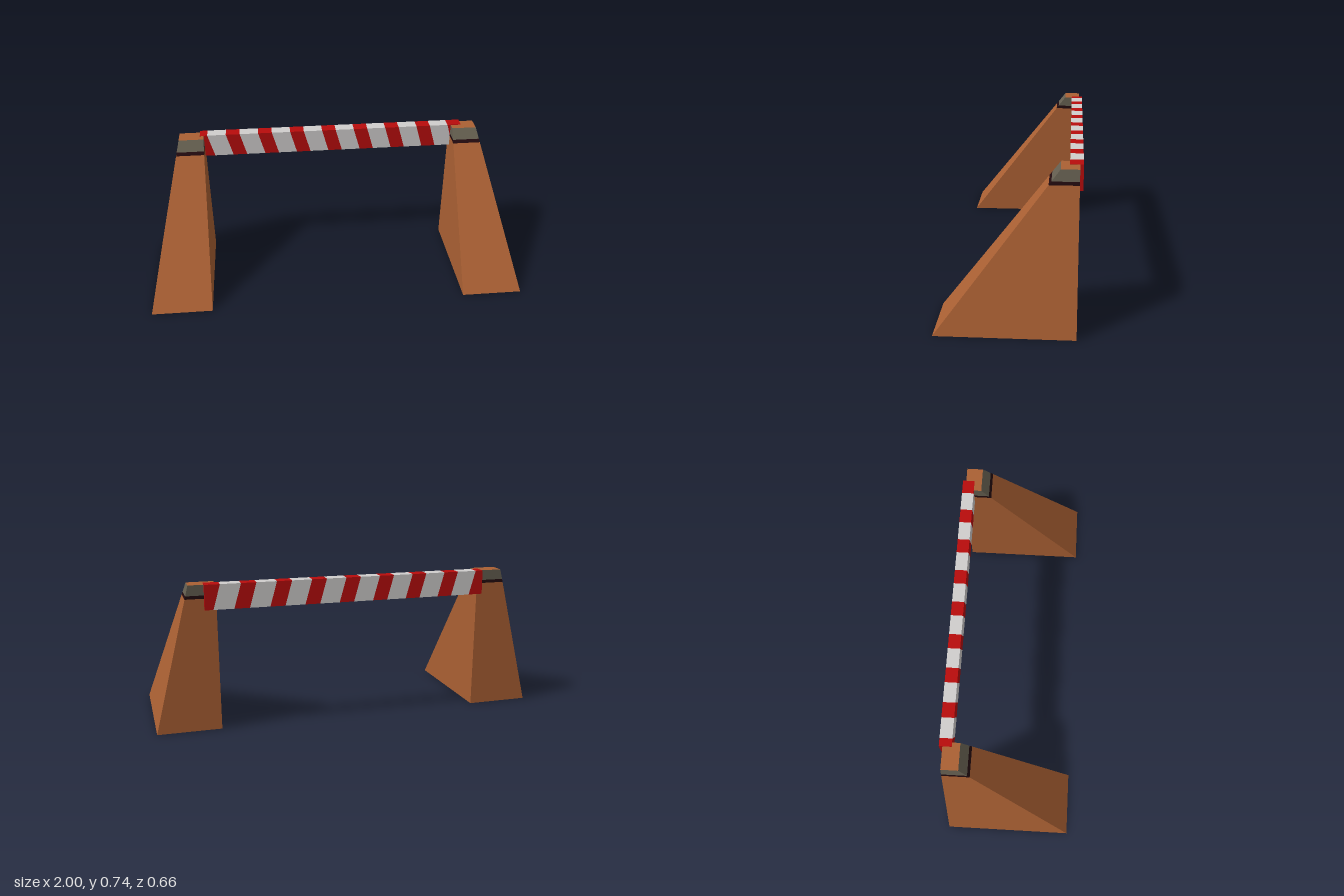
import * as THREE from 'three';

const mat = (name, color) => {
  const m = new THREE.MeshStandardMaterial({ color });
  m.name = name;
  return m;
};

const H = 0.735; // post height
const lerp = THREE.MathUtils.lerp;
const clamp = THREE.MathUtils.clamp;

// Box whose unit corners (-1 or 1 on each axis) are moved by a rule
function shapedBox(rule) {
  const g = new THREE.BoxGeometry(2, 2, 2);
  const p = g.attributes.position;
  for (let i = 0; i < p.count; i++) p.setXYZ(i, ...rule(p.getX(i), p.getY(i), p.getZ(i)));
  g.computeVertexNormals();
  return g;
}

// Slice of the tapered post between two heights; side is 1 (left) or -1 (right)
function postSlice(side, y0, y1) {
  return shapedBox((x, y, z) => {
    const h = y > 0 ? y1 : y0;
    const t = h / H;
    const px = x * side > 0 ? lerp(1, 0.82, t) : lerp(0.68, 0.687, t);
    const pz = z > 0 ? lerp(0.33, -0.23, t) : -0.315;
    return [px * side, h, pz];
  });
}

export function createModel() {
  const root = new THREE.Group();
  root.name = 'barrier';
  const brown = mat('brown', 0xaa6033);
  const grey = mat('grey', 0x655f50);
  const dark = mat('darkBand', 0x220a0e);
  const red = mat('red', 0xb80c0c);
  const white = mat('white', 0xd0cecd);

  const add = (parent, name, geometry, material) => {
    const m = new THREE.Mesh(geometry, material);
    m.name = name;
    parent.add(m);
  };

  // Two wedge posts, each with a dark line and a grey cap band
  for (const side of [1, -1]) {
    const post = new THREE.Group();
    post.name = side > 0 ? 'leftPost' : 'rightPost';
    add(post, 'postBody', postSlice(side, 0, 0.667), brown);
    add(post, 'darkLine', postSlice(side, 0.667, 0.683), dark);
    add(post, 'capBand', postSlice(side, 0.683, H), [grey, grey, brown, grey, grey, grey]);
    root.add(post);
  }

  // Striped crossbar: slanted red and white blocks, cut square at the ends
  const bar = new THREE.Group();
  bar.name = 'crossbar';
  const xMin = -0.708, xMax = 0.745, slant = 0.035, period = 0.1765, redWidth = 0.0755;
  const block = (a, b) => shapedBox((x, y, z) => [
    clamp((x > 0 ? b : a) + (y > 0 ? 0 : slant), xMin, xMax),
    y > 0 ? 0.737 : 0.613,
    z > 0 ? -0.27 : -0.332,
  ]);
  for (let k = 0; k < 9; k++) {
    const a = -0.7435 + k * period;
    add(bar, 'redStripe', block(a, a + redWidth), red);
    if (k < 8) add(bar, 'whiteStripe', block(a + redWidth, a + period), white);
  }
  root.add(bar);
  return root;
}
